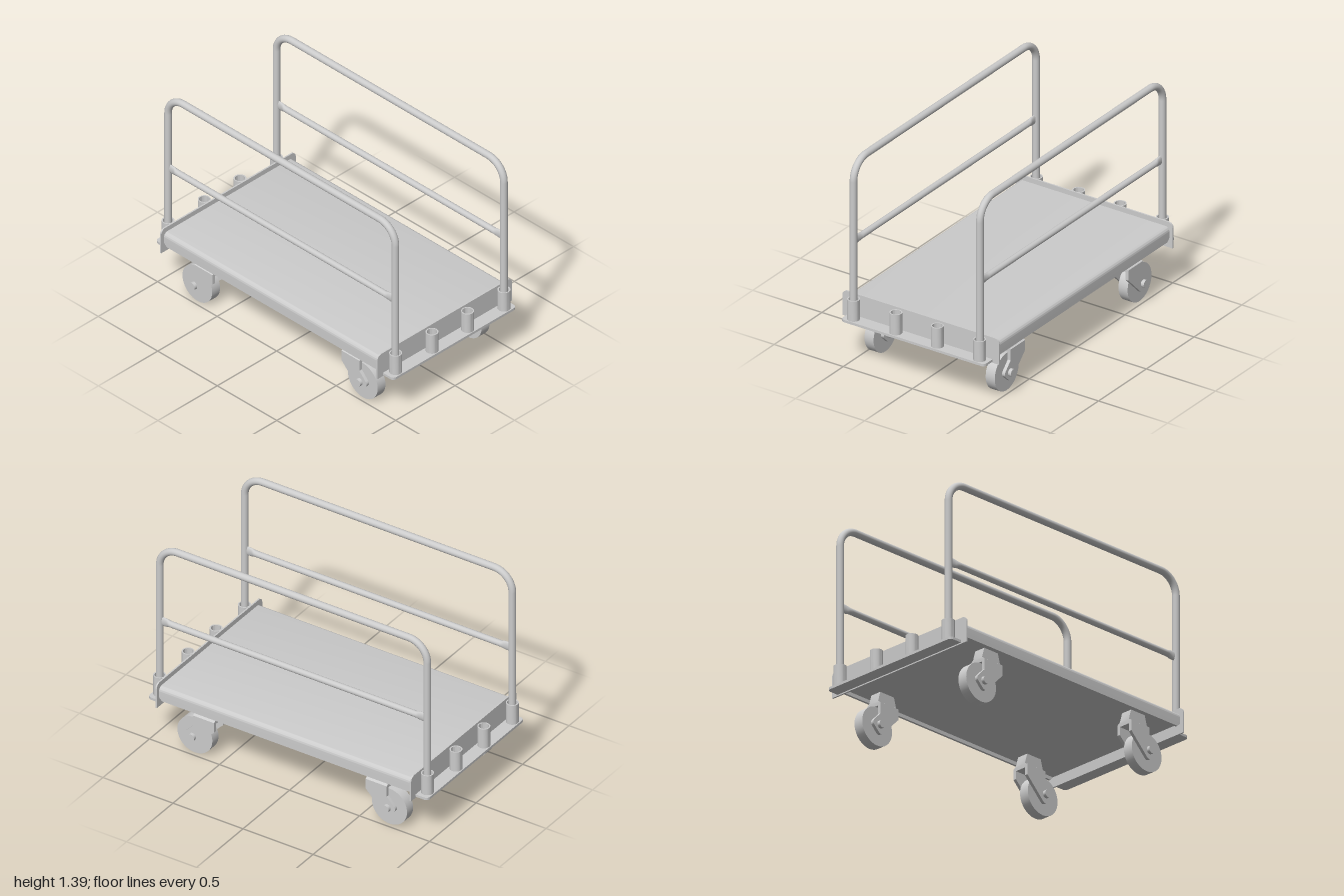
import * as THREE from 'three';
import { toCreasedNormals } from 'three/addons/utils/BufferGeometryUtils.js';

const grey = new THREE.MeshStandardMaterial({ color: 0xcccccc, side: THREE.DoubleSide });

function add(parent, name, geometry, x = 0, y = 0, z = 0) {
  const mesh = new THREE.Mesh(geometry, grey);
  mesh.name = name;
  mesh.position.set(x, y, z);
  parent.add(mesh);
  return mesh;
}

// extrudes a shape along z, centred on z = 0
function slab(shape, depth) {
  const g = new THREE.ExtrudeGeometry(shape, { depth, bevelEnabled: false, curveSegments: 10 });
  g.translate(0, 0, -depth / 2);
  return toCreasedNormals(g, 0.6);
}

function polygon(points) {
  return new THREE.Shape(points.map(([x, y]) => new THREE.Vector2(x, y)));
}

// rectangle with its two upper corners rounded
function roundTop(w, y0, y1, r) {
  const s = new THREE.Shape();
  s.moveTo(-w, y0);
  s.lineTo(w, y0);
  s.lineTo(w, y1 - r);
  s.absarc(w - r, y1 - r, r, 0, Math.PI / 2, false);
  s.absarc(-w + r, y1 - r, r, Math.PI / 2, Math.PI, false);
  s.closePath();
  return s;
}

// deck with rounded long edges, low side flanges and a shallow recess below;
// the lower end corners of the flanges are cut off
function makeDeck(parent) {
  const w = 0.543, t = 0.015, top = 0.428, low = 0.335, r = 0.03, cut = 0.358;
  const s = new THREE.Shape();
  s.moveTo(w, low);
  s.lineTo(w, cut);
  s.lineTo(w, top - r);
  s.absarc(w - r, top - r, r, 0, Math.PI / 2, false);
  s.absarc(-w + r, top - r, r, Math.PI / 2, Math.PI, false);
  s.lineTo(-w, cut);
  s.lineTo(-w, low);
  s.lineTo(-w + t, low);
  s.lineTo(-w + t, cut);
  s.lineTo(w - t, cut);
  s.lineTo(w - t, low);
  s.closePath();
  const g = new THREE.ExtrudeGeometry(s, { depth: 1.81, bevelEnabled: false, curveSegments: 8 });
  g.translate(0, 0, -0.905);
  const p = g.attributes.position;
  for (let i = 0; i < p.count; i++) {
    const drop = Math.max(0, cut - p.getY(i));
    p.setZ(i, p.getZ(i) - Math.sign(p.getZ(i)) * drop);
  }
  add(parent, 'deck', toCreasedNormals(g, 0.6));
}

// end plate, ledge and four open sockets
function makeEnd() {
  const end = new THREE.Group();
  add(end, 'endPlate', slab(roundTop(0.567, 0.291, 0.46, 0.035), 0.01), 0, 0, 0.908);
  const ledge = slab(roundTop(0.52, 0.908, 1, 0.025), 0.016).rotateX(Math.PI / 2);
  add(end, 'ledge', ledge, 0, 0.307, 0);

  const ring = [[0.039, 0], [0.039, 0.137], [0.031, 0.137], [0.031, 0], [0.039, 0]];
  const socket = toCreasedNormals(
    new THREE.LatheGeometry(ring.map(([x, y]) => new THREE.Vector2(x, y)), 28), 0.6);
  for (const x of [-0.456, -0.15, 0.15, 0.456]) add(end, 'socket', socket, x, 0.313, 0.956);
  return end;
}

// bent handrail with a middle bar pressed flat at its ends
function makeRail() {
  const rail = new THREE.Group();
  const r = 0.023, bend = 0.13, top = 1.367, zEnd = 0.955, foot = 0.315;
  const postLength = top - bend - foot;
  const post = new THREE.CylinderGeometry(r, r, postLength, 20);
  const elbow = new THREE.TorusGeometry(bend, r, 20, 16, Math.PI / 2);
  elbow.rotateY(-Math.PI / 2);
  for (const turn of [0, Math.PI]) {
    const half = new THREE.Group();
    half.name = 'railEnd';
    add(half, 'post', post, 0, foot + postLength / 2, zEnd);
    add(half, 'elbow', elbow, 0, top - bend, zEnd - bend);
    half.rotation.y = turn;
    rail.add(half);
  }
  const bar = new THREE.CylinderGeometry(r, r, 2 * (zEnd - bend), 20);
  bar.rotateX(Math.PI / 2);
  add(rail, 'topBar', bar, 0, top, 0);

  const mid = new THREE.CylinderGeometry(0.02, 0.02, 1.88, 20, 94);
  mid.rotateX(Math.PI / 2);
  const p = mid.attributes.position;
  for (let i = 0; i < p.count; i++) {
    const k = THREE.MathUtils.smoothstep(Math.abs(p.getZ(i)), 0.875, 0.91);
    p.setXY(i, p.getX(i) * (1 - 0.45 * k), p.getY(i) * (1 + 0.5 * k));
  }
  mid.computeVertexNormals();
  add(rail, 'middleBar', mid, 0, 0.84, 0);
  return rail;
}

// caster at the front end, its wheel trailing outwards
function makeCaster() {
  const caster = new THREE.Group();
  const alongX = (radius, length, sides) =>
    new THREE.CylinderGeometry(radius, radius, length, sides).rotateZ(Math.PI / 2);
  add(caster, 'wheel', alongX(0.125, 0.066, 40), 0, 0.125, 0.695);
  add(caster, 'axle', alongX(0.025, 0.16, 20), 0, 0.128, 0.695);

  // side plates, drawn as (z, y)
  const s = new THREE.Shape();
  s.moveTo(0.541, 0.275);
  s.lineTo(0.541, 0.21);
  s.lineTo(0.67, 0.08);
  s.quadraticCurveTo(0.69, 0.06, 0.71, 0.08);
  s.lineTo(0.74, 0.11);
  s.quadraticCurveTo(0.76, 0.13, 0.745, 0.15);
  s.lineTo(0.692, 0.205);
  s.lineTo(0.692, 0.275);
  s.closePath();
  const plate = slab(s, 0.021).rotateY(-Math.PI / 2);
  for (const side of [-1, 1]) add(caster, 'forkPlate', plate, side * 0.0485, 0, 0);

  // crown bridging the fork, with sloping shoulders up to the deck
  const crown = polygon([
    [-0.059, 0.262], [0.059, 0.262], [0.059, 0.278], [0.038, 0.292],
    [0.038, 0.36], [-0.038, 0.36], [-0.038, 0.292], [-0.059, 0.278],
  ]);
  const g = new THREE.ExtrudeGeometry(crown, { depth: 0.151, bevelEnabled: false });
  g.translate(0, 0, 0.541);
  const p = g.attributes.position;
  for (let i = 0; i < p.count; i++) {
    if (p.getY(i) > 0.3) p.setZ(i, 0.6165 + (p.getZ(i) - 0.6165) * 0.75);
  }
  add(caster, 'forkCrown', toCreasedNormals(g, 0.3));
  return caster;
}

export function createModel() {
  const model = new THREE.Group();
  model.name = 'platformCart';
  makeDeck(model);
  for (const [label, turn] of [['front', 0], ['back', Math.PI]]) {
    const end = makeEnd();
    end.name = label + 'End';
    end.rotation.y = turn;
    model.add(end);
    for (const x of [-0.438, 0.438]) {
      const caster = makeCaster();
      caster.name = label + (x > 0 ? 'Left' : 'Right') + 'Caster';
      caster.position.x = x;
      caster.rotation.y = turn;
      model.add(caster);
    }
  }
  for (const x of [-0.457, 0.457]) {
    const rail = makeRail();
    rail.name = x > 0 ? 'leftRail' : 'rightRail';
    rail.position.x = x;
    model.add(rail);
  }
  return model;
}
